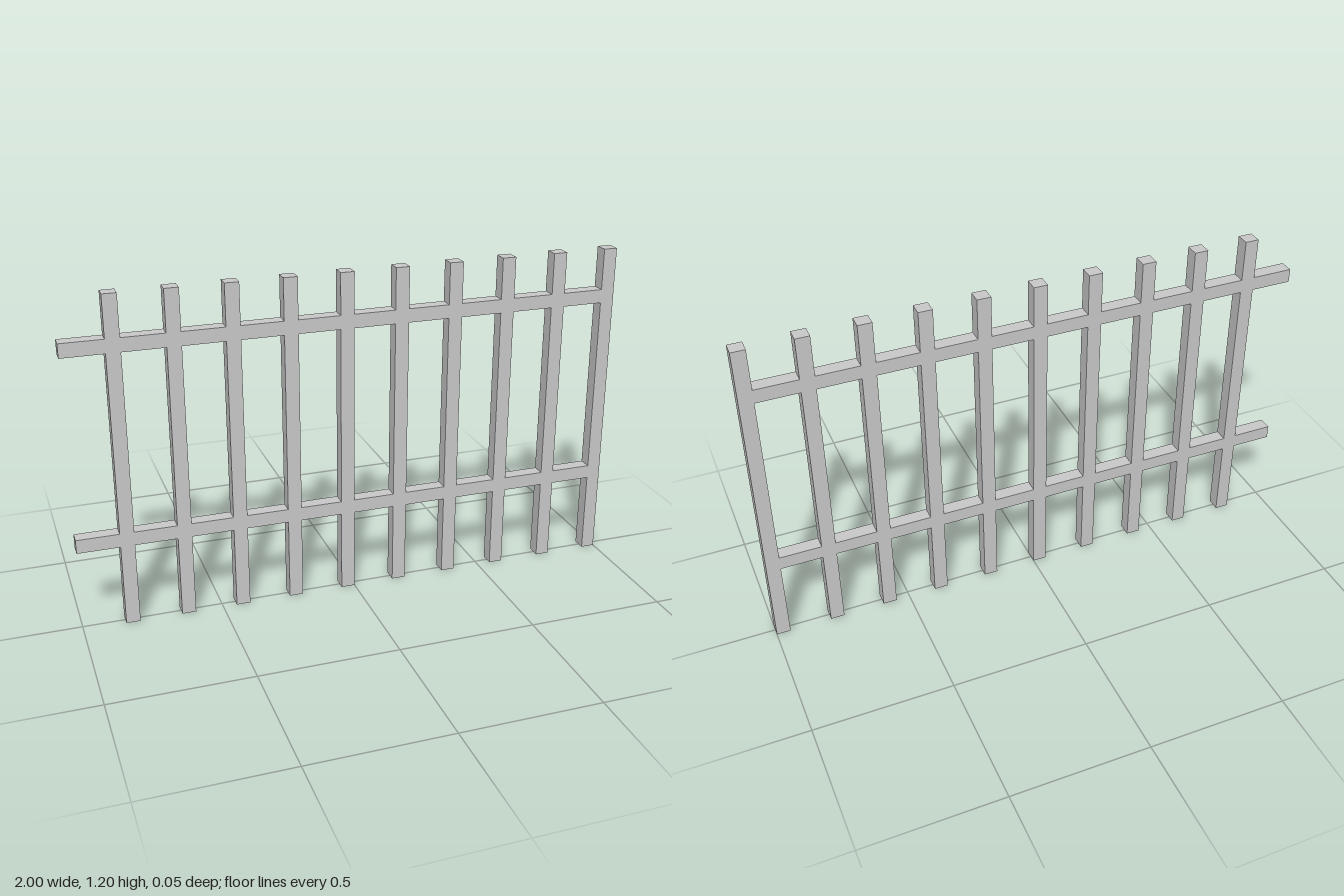
import * as THREE from 'three';

const THICK = 0.05;   // square section shared by posts and rails
const HEIGHT = 1.2;
const PITCH = 0.2;    // one rail span plus one post
const COUNT = 10;

export function createModel() {
  const model = new THREE.Group();
  model.name = 'fence';
  const material = new THREE.MeshStandardMaterial({ color: 0xcccccc, flatShading: true });

  const span = PITCH - THICK;
  const postGeometry = new THREE.BoxGeometry(THICK, HEIGHT, THICK);
  const railGeometry = new THREE.BoxGeometry(span, THICK, THICK);

  const add = (name, geometry, x, y) => {
    const mesh = new THREE.Mesh(geometry, material);
    mesh.name = name;
    mesh.position.set(x, y, 0);
    model.add(mesh);
  };

  // Each bay: two rail spans, then the post they butt against, flush front and back
  for (let i = 0; i < COUNT; i++) {
    const start = -1 + i * PITCH;
    add(`lowerRail${i + 1}`, railGeometry, start + span / 2, 0.325);
    add(`upperRail${i + 1}`, railGeometry, start + span / 2, 1.025);
    add(`post${i + 1}`, postGeometry, start + span + THICK / 2, HEIGHT / 2);
  }
  return model;
}
